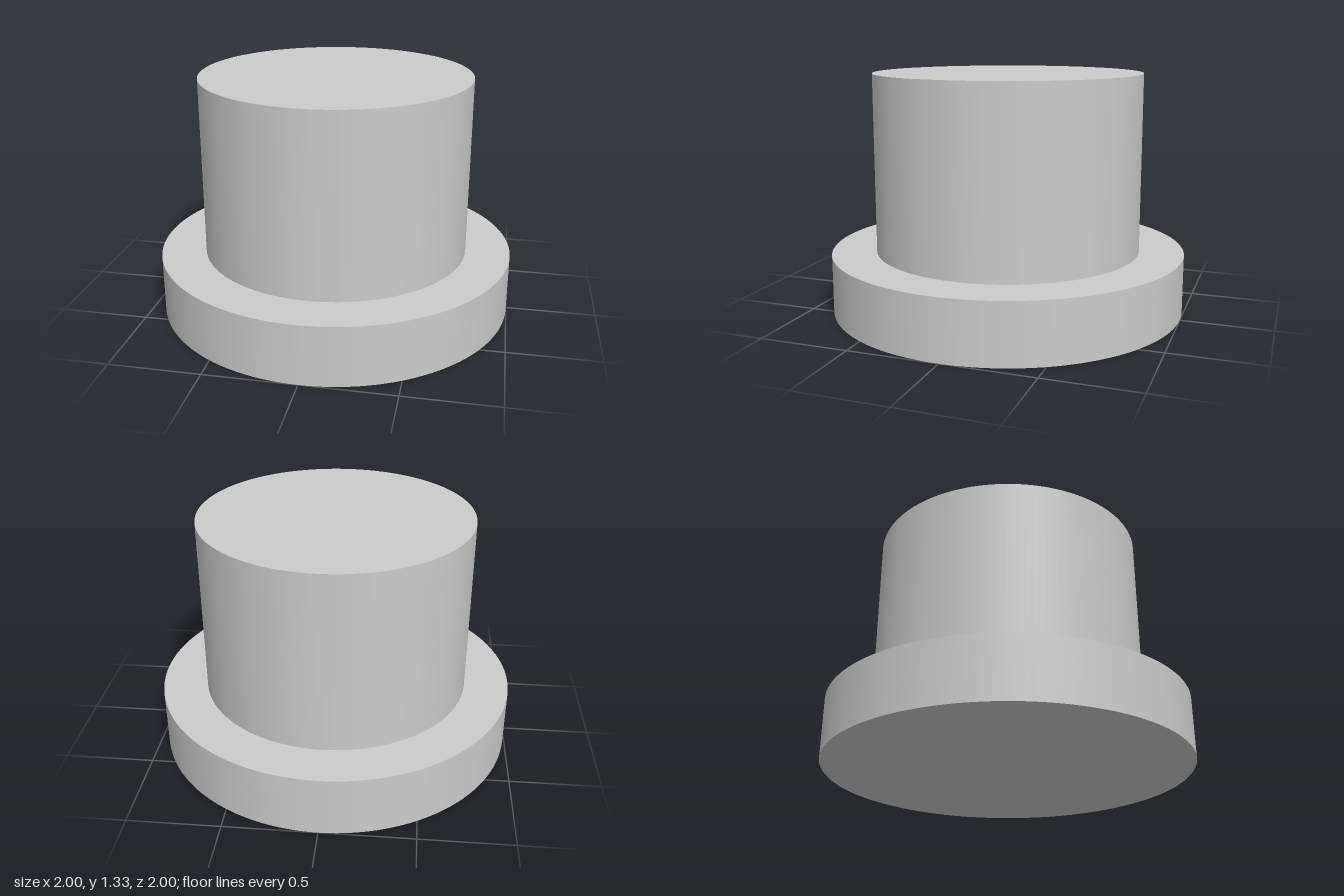
import * as THREE from 'three';

const SEGMENTS = 128;

export function createModel() {
  const group = new THREE.Group();
  group.name = 'flangedPlug';
  const material = new THREE.MeshStandardMaterial({ color: 0xcccccc });

  // Upright solid disc standing on height `bottom`
  const addDisc = (name, radius, bottom, height) => {
    const geometry = new THREE.CylinderGeometry(radius, radius, height, SEGMENTS);
    const mesh = new THREE.Mesh(geometry, material);
    mesh.name = name;
    mesh.position.y = bottom + height / 2;
    group.add(mesh);
  };

  const flangeHeight = 1 / 3;
  addDisc('flange', 1, 0, flangeHeight); // wide base
  addDisc('body', 0.75, flangeHeight, 1); // narrower cylinder on top

  return group;
}
